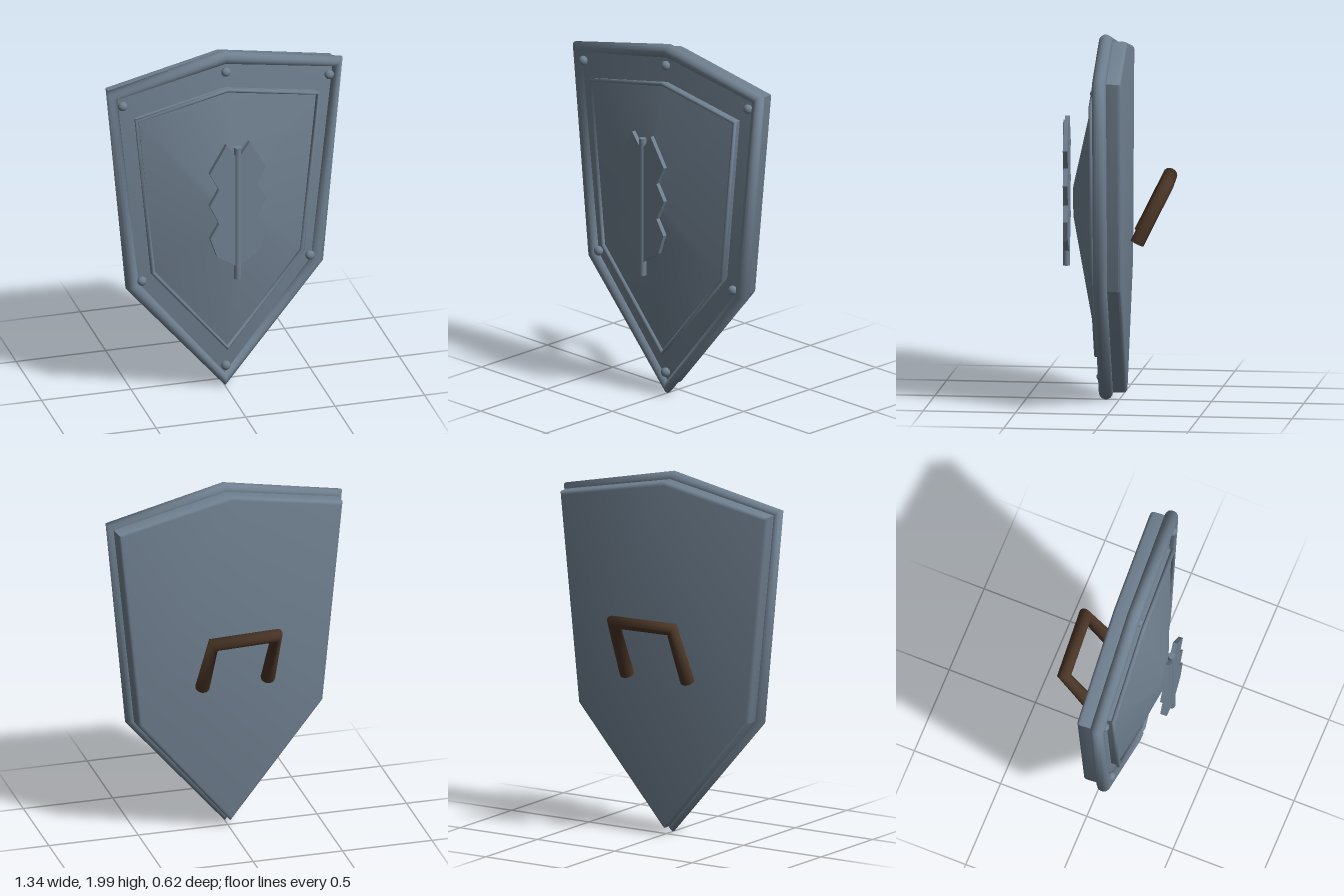
import * as THREE from 'three';
import { toCreasedNormals } from 'three/addons/utils/BufferGeometryUtils.js';

// Straight-sided path whose samples fall exactly on its corner points
class CornerPath extends THREE.Curve {
  constructor(points, closed) {
    super();
    this.points = points;
    this.closed = closed;
    this.segments = closed ? points.length : points.length - 1;
  }
  at(i) {
    const n = this.points.length;
    return this.closed ? this.points[(i + n) % n] : this.points[Math.min(Math.max(i, 0), n - 1)];
  }
  getPoint(t, target = new THREE.Vector3()) {
    const s = t * this.segments, i = Math.floor(s + 1e-6);
    return target.lerpVectors(this.at(i), this.at(i + 1), Math.max(0, s - i));
  }
  getPointAt(t, target) { return this.getPoint(t, target); }
  getTangentAt(t, target = new THREE.Vector3()) {
    const i = Math.round(t * this.segments);
    const before = this.at(i).clone().sub(this.at(i - 1)).normalize();
    const after = this.at(i + 1).clone().sub(this.at(i)).normalize();
    return target.copy(before.add(after).normalize());
  }
}

// Six-cornered shield outline, counter-clockwise from the top point
const outline = (top, shoulder, hip, tip) => [
  [0, top], [-shoulder[0], shoulder[1]], [-hip[0], hip[1]],
  [0, tip], [hip[0], hip[1]], [shoulder[0], shoulder[1]],
].map(([x, y]) => new THREE.Vector2(x, y));

const tube = (points, radius, closed, sides = 14) => {
  const path = new CornerPath(points, closed);
  return new THREE.TubeGeometry(path, path.segments, radius, sides, closed);
};
const lift = (points, z) => points.map((p) => new THREE.Vector3(p.x, p.y, z));

// Raised panel: outline rings joined in a loop, closed by a small flat top
function bossGeometry(base) {
  const cy = 1.1, n = base.length, positions = [], index = [];
  const rings = [[1, 0.08], [1, 0.113], [0.12, 0.246]];
  for (const [s, z] of rings)
    for (const p of base) positions.push(p.x * s, cy + (p.y - cy) * s, z);
  positions.push(0, cy, 0.247);
  for (let r = 0; r < rings.length - 1; r++)
    for (let i = 0; i < n; i++) {
      const a = r * n + i, b = r * n + (i + 1) % n;
      index.push(a, b, b + n, a, b + n, a + n);
    }
  const last = (rings.length - 1) * n;
  for (let i = 0; i < n; i++) index.push(last + i, last + (i + 1) % n, last + n);
  const g = new THREE.BufferGeometry();
  g.setAttribute('position', new THREE.Float32BufferAttribute(positions, 3));
  g.setIndex(index);
  return toCreasedNormals(g, 0.75);
}

export function createModel() {
  const model = new THREE.Group();
  model.name = 'shield';
  const steel = new THREE.MeshStandardMaterial({ color: 0x708090 });
  steel.name = 'steel';
  const leather = new THREE.MeshStandardMaterial({ color: 0x4a3526 });
  leather.name = 'brown leather';
  const add = (name, geometry, material = steel) => {
    const mesh = new THREE.Mesh(geometry, material);
    mesh.name = name;
    model.add(mesh);
    return mesh;
  };

  // Board with rounded edges
  const edge = outline(1.962, [0.643, 1.835], [0.527, 0.684], 0.048);
  const bevel = 0.02, back = -0.044, front = 0.082;
  const board = new THREE.ExtrudeGeometry(new THREE.Shape(edge), {
    depth: front - back - 2 * bevel, bevelEnabled: true, bevelSize: bevel,
    bevelThickness: bevel, bevelOffset: -bevel, bevelSegments: 3,
  });
  board.translate(0, 0, back + bevel);
  add('board', toCreasedNormals(board, 0.6));

  // Rim around the board
  add('rim', tube(lift(edge, 0.073), 0.038, true));

  // Raised centre panel and its thin border
  const panel = outline(1.787, [0.517, 1.687], [0.426, 0.767], 0.252);
  add('centrePanel', bossGeometry(panel));
  add('panelBorder', tube(lift(panel, 0.124), 0.0125, true, 10));

  // Rivets
  const rivet = new THREE.SphereGeometry(0.026, 16, 12);
  for (const [x, y] of [[0, 1.885], [0.59, 1.775], [-0.59, 1.775],
    [0.48, 0.715], [-0.48, 0.715], [0, 0.135]]) {
    const m = add('rivet', rivet);
    m.position.set(x, y, 0.1);
    m.scale.z = 0.9;
  }

  // Emblem: notched leaf plate with a rod down the middle
  const half = [[0.066, 1.545], [0.161, 1.386], [0.108, 1.286], [0.161, 1.196],
    [0.108, 1.085], [0.158, 1.0], [0.12, 0.89]];
  const leaf = new THREE.Shape([
    [0, 1.455], ...half.map(([x, y]) => [-x, y]), [0, 0.81], ...half.reverse(),
  ].map(([x, y]) => new THREE.Vector2(x, y)));
  const plate = new THREE.ExtrudeGeometry(leaf, { depth: 0.025, bevelEnabled: false });
  add('emblemPlate', plate.translate(0, 0, 0.271));
  add('emblemRod', new THREE.CylinderGeometry(0.02, 0.02, 0.78, 12)).position.set(0, 1.13, 0.285);

  // Handle on the back, with closed ends
  const handle = [[-0.187, 0.895, -0.106], [-0.181, 1.212, -0.264],
    [0.181, 1.212, -0.264], [0.187, 0.895, -0.106]].map((p) => new THREE.Vector3(...p));
  const radius = 0.039;
  add('handle', tube(handle, radius, false), leather);
  for (const [end, next] of [[0, 1], [3, 2]]) {
    const cap = add('handleEnd', new THREE.CircleGeometry(radius, 14), leather);
    cap.position.copy(handle[end]);
    const out = handle[end].clone().sub(handle[next]).normalize();
    cap.quaternion.setFromUnitVectors(new THREE.Vector3(0, 0, 1), out);
  }

  // Slight turn of the whole shield
  model.rotation.y = 0.068;
  model.position.x = -0.004;
  return model;
}
